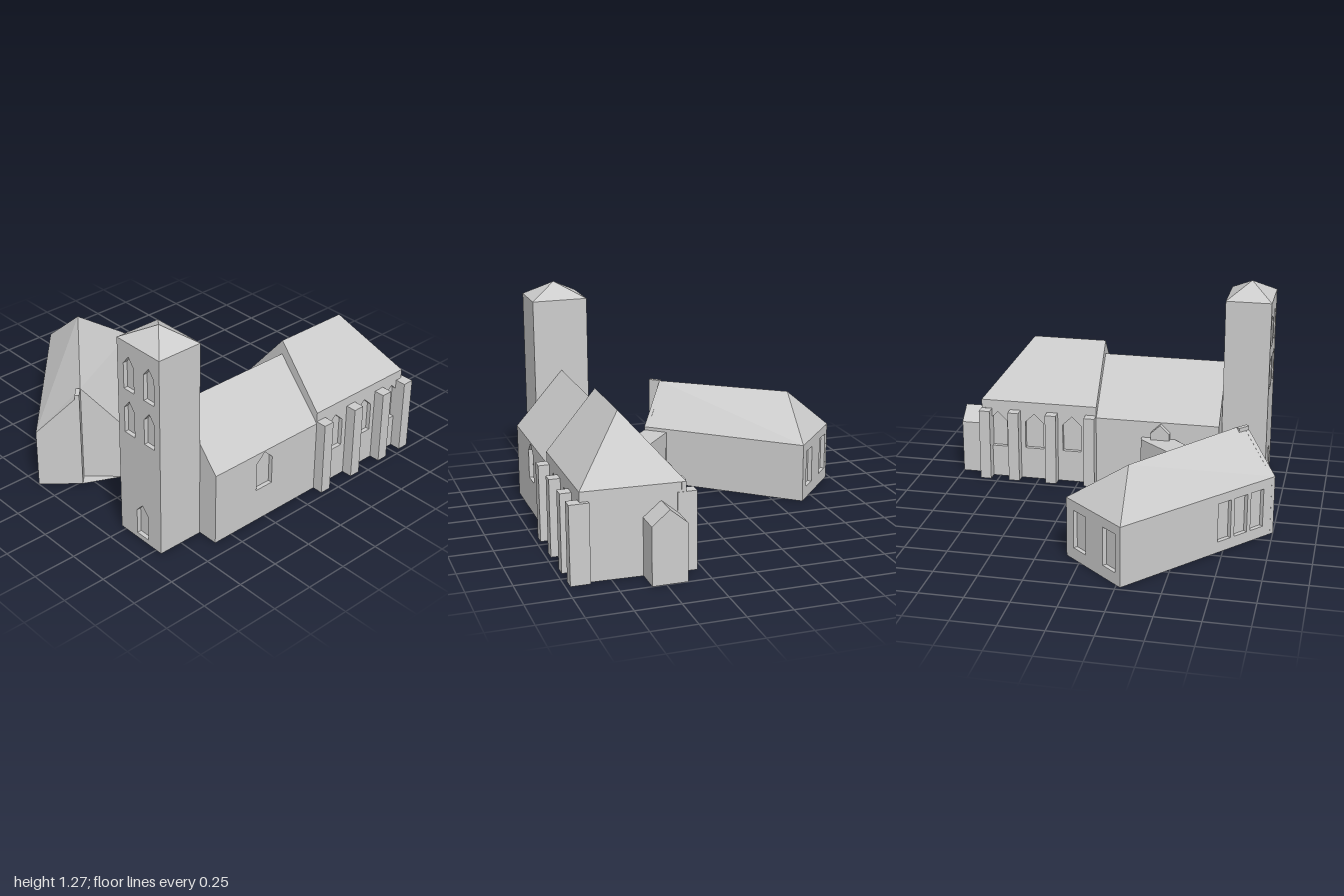
import * as THREE from 'three';

const DEPTH = 0.025; // wall thickness and window recess

export function createModel() {
  const model = new THREE.Group();
  const stone = new THREE.MeshStandardMaterial({ color: 0xcccccc });
  stone.name = 'paleStone';

  const part = (parent, name, geometry) => {
    const mesh = new THREE.Mesh(geometry, stone);
    mesh.name = name;
    parent.add(mesh);
    return mesh;
  };

  const group = (name) => {
    const g = new THREE.Group();
    g.name = name;
    model.add(g);
    return g;
  };

  // Flat polygons of [x, y, z] corners, counter-clockwise from outside
  const facets = (parent, name, polygons) => {
    const points = [];
    for (const p of polygons) {
      for (let i = 1; i < p.length - 1; i++) points.push(...p[0], ...p[i], ...p[i + 1]);
    }
    const geometry = new THREE.BufferGeometry();
    geometry.setAttribute('position', new THREE.Float32BufferAttribute(points, 3));
    geometry.computeVertexNormals();
    return part(parent, name, geometry);
  };

  const outline = (points) => points.map(([x, y]) => new THREE.Vector2(x, y));

  // Window outline: centre, width, sill, shoulder, peak
  const windowOutline = ([u, w, sill, shoulder, peak]) => {
    const points = [[u - w / 2, sill], [u + w / 2, sill], [u + w / 2, shoulder]];
    if (peak > shoulder) points.push([u, peak]);
    points.push([u - w / 2, shoulder]);
    return outline(points);
  };

  // Wall from a to b, left to right from outside, with recessed windows
  const wall = (parent, name, a, b, h, { endHeight = h, peak, windows = [] } = {}) => {
    const dx = b[0] - a[0], dz = b[1] - a[1], length = Math.hypot(dx, dz);
    const points = [[0, 0], [length, 0], [length, endHeight]];
    if (peak) points.push([length / 2, peak]);
    points.push([0, h]);
    const shape = new THREE.Shape(outline(points));
    shape.holes = windows.map((w) => new THREE.Path(windowOutline(w)));
    const place = (geometry) => geometry
      .translate(0, 0, -DEPTH)
      .rotateY(Math.atan2(-dz, dx))
      .translate(a[0], 0, a[1]);
    part(parent, name, place(new THREE.ExtrudeGeometry(shape, { depth: DEPTH, bevelEnabled: false })));
    for (const w of windows) {
      part(parent, 'windowPane', place(new THREE.ShapeGeometry(new THREE.Shape(windowOutline(w)))));
    }
  };

  // Floor from a footprint of [x, z] corners
  const floor = (parent, corners) =>
    facets(parent, 'floor', [corners.map(([x, z]) => [x, 0, z]).reverse()]);

  const box = (parent, name, x0, x1, y0, y1, z0, z1) =>
    part(parent, name, new THREE.BoxGeometry(x1 - x0, y1 - y0, z1 - z0))
      .position.set((x0 + x1) / 2, (y0 + y1) / 2, (z0 + z1) / 2);

  // Rectangular footprint: front left, front right, back right, back left
  const rect = (x0, x1, z0, z1) => [[x0, z1], [x1, z1], [x1, z0], [x0, z0]];
  const lift = ([x, z], y) => [x, y, z];
  const archAt = (u) => [u, 0.115, 0.2, 0.37, 0.425];

  // Tower with paired openings on its outer side
  const tower = group('tower');
  const t = rect(-0.89, -0.618, 0.463, 0.79);
  const openings = [[0.178, 0.09, 0.03, 0.18, 0.23]];
  for (const y of [0.635, 0.9]) {
    for (const u of [0.088, 0.245]) openings.push([u, 0.08, y, y + 0.15, y + 0.2]);
  }
  t.forEach((corner, i) => wall(tower, 'towerWall', corner, t[(i + 1) % 4], 1.18,
    i === 3 ? { windows: openings } : {}));
  facets(tower, 'towerRoof', t.map((corner, i) =>
    [lift(corner, 1.18), lift(t[(i + 1) % 4], 1.18), [-0.754, 1.27, 0.63]]));
  floor(tower, t);

  // Nave
  const nave = group('nave');
  const n = rect(-0.615, 0.137, 0.343, 0.912);
  wall(nave, 'naveFrontWall', n[0], n[1], 0.432, { windows: [archAt(0.355)] });
  wall(nave, 'naveBackWall', n[2], n[3], 0.432);
  wall(nave, 'naveGable', n[3], n[0], 0.432, { peak: 0.753 });
  const naveRidge = [[-0.615, 0.753, 0.6275], [0.137, 0.753, 0.6275]];
  facets(nave, 'naveRoof', [
    [lift(n[0], 0.432), lift(n[1], 0.432), naveRidge[1], naveRidge[0]],
    [lift(n[2], 0.432), lift(n[3], 0.432), naveRidge[0], naveRidge[1]],
  ]);
  floor(nave, n);
  const surround = part(nave, 'backWindowSurround', new THREE.ExtrudeGeometry(
    new THREE.Shape(windowOutline(archAt(-0.262))), { depth: 0.04, bevelEnabled: false }));
  surround.position.z = 0.31;

  // Choir with a hipped end
  const choir = group('choir');
  const c = [[0.137, 0.912], [0.837, 0.912], [0.86, 0.343], [0.137, 0.343]];
  const bays = [0.29, 0.527, 0.758];
  wall(choir, 'choirFrontWall', c[0], c[1], 0.5, { windows: bays.map((x) => archAt(x - 0.137)) });
  wall(choir, 'choirEndWall', c[1], c[2], 0.5);
  wall(choir, 'choirBackWall', c[2], c[3], 0.5, { windows: bays.map((x) => archAt(0.86 - x)) });
  wall(choir, 'choirGable', c[3], c[0], 0.5, { peak: 0.838 });
  const choirRidge = [[0.137, 0.838, 0.6275], [0.587, 0.838, 0.63]];
  const eave = c.map((corner) => lift(corner, 0.5));
  facets(choir, 'choirRoof', [
    [eave[0], eave[1], choirRidge[1], choirRidge[0]],
    [eave[1], eave[2], choirRidge[1]],
    [eave[2], eave[3], choirRidge[0], choirRidge[1]],
  ]);
  floor(choir, c);

  // Buttresses on both sides of the choir
  for (const x of [0.137, 0.378, 0.613, 0.795]) {
    box(choir, 'frontButtress', x, x + 0.067, 0, 0.445, 0.865, 0.975);
    box(choir, 'backButtress', x, x + 0.067, 0, 0.445, 0.282, 0.39);
  }

  // Small gabled annex at the choir end
  const annex = group('annex');
  const a = rect(0.83, 1, 0.38, 0.577);
  wall(annex, 'annexFrontWall', a[0], a[1], 0.327);
  wall(annex, 'annexGable', a[1], a[2], 0.327, { peak: 0.41 });
  wall(annex, 'annexBackWall', a[2], a[3], 0.327);
  facets(annex, 'annexRoof', [
    [lift(a[0], 0.327), lift(a[1], 0.327), [1, 0.41, 0.4785], [0.83, 0.41, 0.4785]],
    [lift(a[2], 0.327), lift(a[3], 0.327), [0.83, 0.41, 0.4785], [1, 0.41, 0.4785]],
  ]);
  floor(annex, a);

  // Hall set at an angle, one half of its gable stepped back
  const hall = group('hall');
  const west = [-1, -0.144], peakOuter = [-0.81, 0.016], peakInner = [-0.76, -0.038];
  const south = [-0.59, 0.118], east = [0.088, -0.66], north = [-0.275, -0.978];
  const hallEave = 0.35, hallTop = 0.588;
  wall(hall, 'outerHalfGable', west, peakOuter, hallEave, { endHeight: hallTop });
  wall(hall, 'gableStep', peakOuter, peakInner, hallTop);
  wall(hall, 'innerHalfGable', peakInner, south, hallTop, { endHeight: hallEave });
  wall(hall, 'hallInnerWall', south, east, hallEave);
  wall(hall, 'hallEndWall', east, north, hallEave, {
    windows: [0.25, 0.8].map((f) => [f * 0.483, 0.11, 0.07, 0.295, 0.295]),
  });
  wall(hall, 'hallOuterWall', north, west, hallEave, {
    windows: [0.66, 0.77, 0.88].map((f) => [f * 1.106, 0.095, 0.065, 0.295, 0.295]),
  });
  const hip = [-0.265, hallTop, -0.7];
  facets(hall, 'hallRoof', [
    [lift(west, hallEave), lift(peakOuter, hallTop), lift(peakInner, hallTop), hip, lift(north, hallEave)],
    [lift(peakInner, hallTop), lift(south, hallEave), lift(east, hallEave), hip],
    [hip, lift(east, hallEave), lift(north, hallEave)],
  ]);
  floor(hall, [peakInner, south, east, north, west, peakOuter]);

  // Flat-roofed passage joining the hall to the nave
  const passage = group('passage');
  const p = [[-0.59, 0.118], [-0.345, 0.345], [-0.147, 0.345], [-0.147, 0.305], [-0.5, 0]];
  p.forEach((corner, i) => wall(passage, 'passageWall', corner, p[(i + 1) % p.length], 0.33));
  facets(passage, 'passageRoof', [p.map((corner) => lift(corner, 0.33))]);
  floor(passage, p);

  return model;
}
